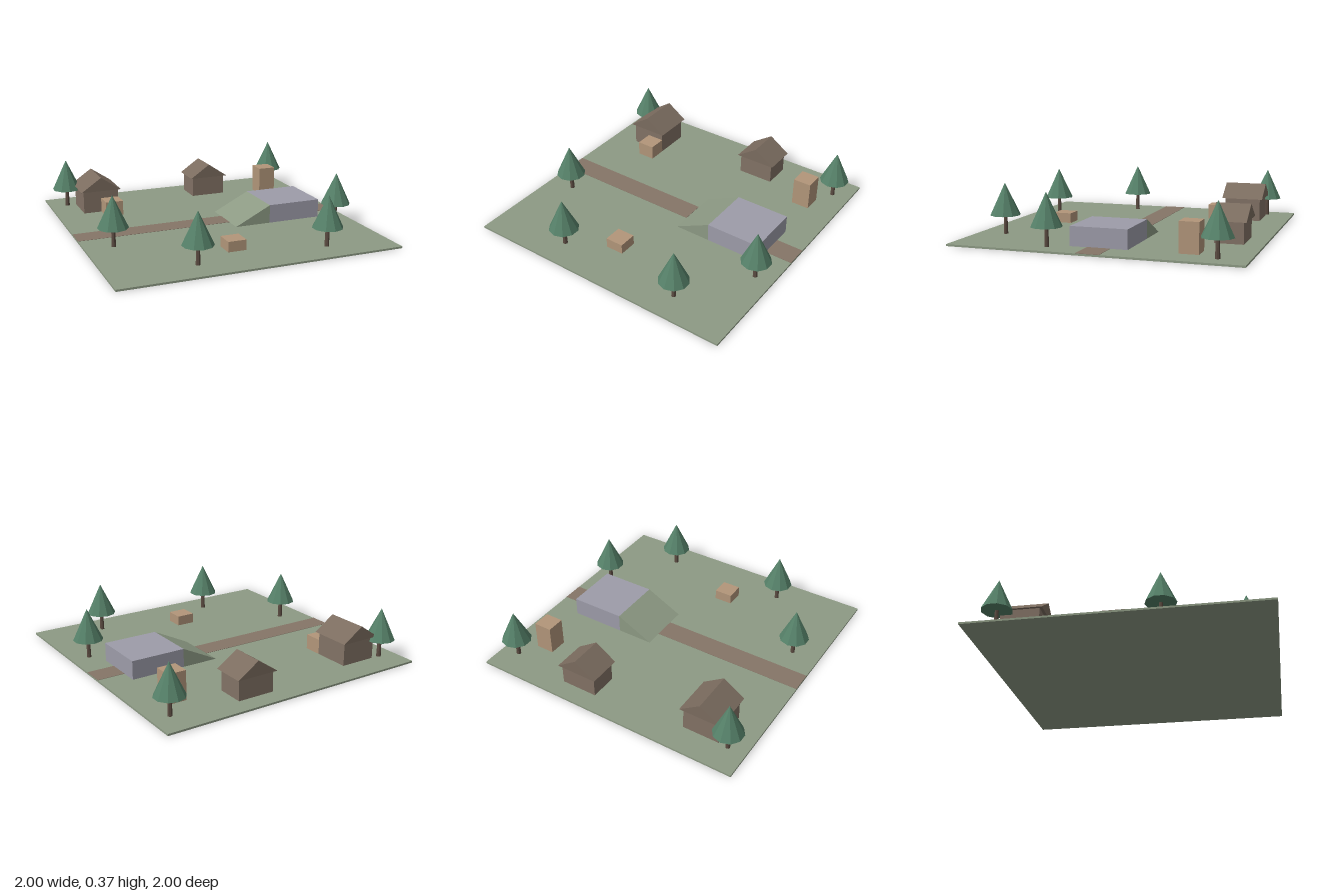
import * as THREE from 'three';

const mat = (name, color) => {
  const m = new THREE.MeshStandardMaterial({ color, flatShading: true });
  m.name = name;
  return m;
};

export function createModel() {
  const grass = mat('grass green', 0x8d9a84);
  const dirt = mat('path brown', 0x857567);
  const wall = mat('wall brown', 0x827265);
  const roof = mat('roof brown', 0x7b6c5f);
  const crate = mat('crate tan', 0xb2967a);
  const stone = mat('stone grey', 0x9d9ca9);
  const leaf = mat('foliage green', 0x558068);
  const bark = mat('bark brown', 0x5c4c42);

  const model = new THREE.Group();
  model.name = 'village';
  const G = 0.0133; // top of the ground

  const add = (parent, name, geometry, material, x, y, z) => {
    const mesh = new THREE.Mesh(geometry, material);
    mesh.name = name;
    mesh.position.set(x, y, z);
    parent.add(mesh);
    return mesh;
  };
  // Box standing on height y
  const block = (parent, name, material, w, h, d, x, y, z) =>
    add(parent, name, new THREE.BoxGeometry(w, h, d), material, x, y + h / 2, z);
  // Side outline in x and y, swept along z and centred
  const prism = (points, depth) => {
    const shape = new THREE.Shape(points.map(([x, y]) => new THREE.Vector2(x, y)));
    return new THREE.ExtrudeGeometry(shape, { depth, bevelEnabled: false }).translate(0, 0, -depth / 2);
  };

  // Ground and the path across it
  block(model, 'ground', grass, 2, G, 2, 0, 0, 0);
  block(model, 'longPath', dirt, 1.133, 0.002, 0.16, -0.4335, G, 0);
  block(model, 'shortPath', dirt, 0.2, 0.002, 0.16, 0.9, G, 0);

  // Raised platform with a grassy ramp
  block(model, 'platform', stone, 0.4, 0.1337, 0.4, 0.6, G, 0);
  add(model, 'ramp', prism([[0.133, 0], [0.4, 0], [0.4, 0.1337]], 0.4), grass, 0, G, 0);

  // Houses: walls under a solid gable roof that overhangs
  const houses = [
    { x: -0.667, z: -0.667, depth: 0.267, height: 0.167, overhang: 0.04 },
    { x: 0.267, z: -0.767, depth: 0.2, height: 0.15, overhang: 0.04 },
  ];
  for (const { x, z, depth, height, overhang } of houses) {
    const house = new THREE.Group();
    house.name = 'house';
    house.position.set(x, G, z);
    block(house, 'walls', wall, 0.267, height, depth, 0, 0, 0);
    add(house, 'roof', prism([[-0.153, 0], [0.153, 0], [0, 0.104]], depth + overhang), roof, 0, height, 0);
    model.add(house);
  }

  // Crates of different heights
  for (const [x, z, h] of [[-0.6, -0.467, 0.107], [0.733, -0.6, 0.207], [-0.067, 0.6, 0.073]]) {
    block(model, 'crate', crate, 0.133, h, 0.133, x, G, z);
  }

  // Pine trees
  const trunk = new THREE.CylinderGeometry(0.0133, 0.0165, 0.1337, 8);
  const cone = new THREE.ConeGeometry(0.1067, 0.2267, 10);
  const spots = [[-0.867, -0.8], [0.867, -0.8], [-0.8, 0.267], [0.867, 0.333], [-0.4, 0.8], [0.533, 0.8]];
  for (const [x, z] of spots) {
    const tree = new THREE.Group();
    tree.name = 'tree';
    tree.position.set(x, G, z);
    add(tree, 'trunk', trunk, bark, 0, 0.0668, 0);
    add(tree, 'foliage', cone, leaf, 0, 0.2465, 0);
    model.add(tree);
  }

  return model;
}
